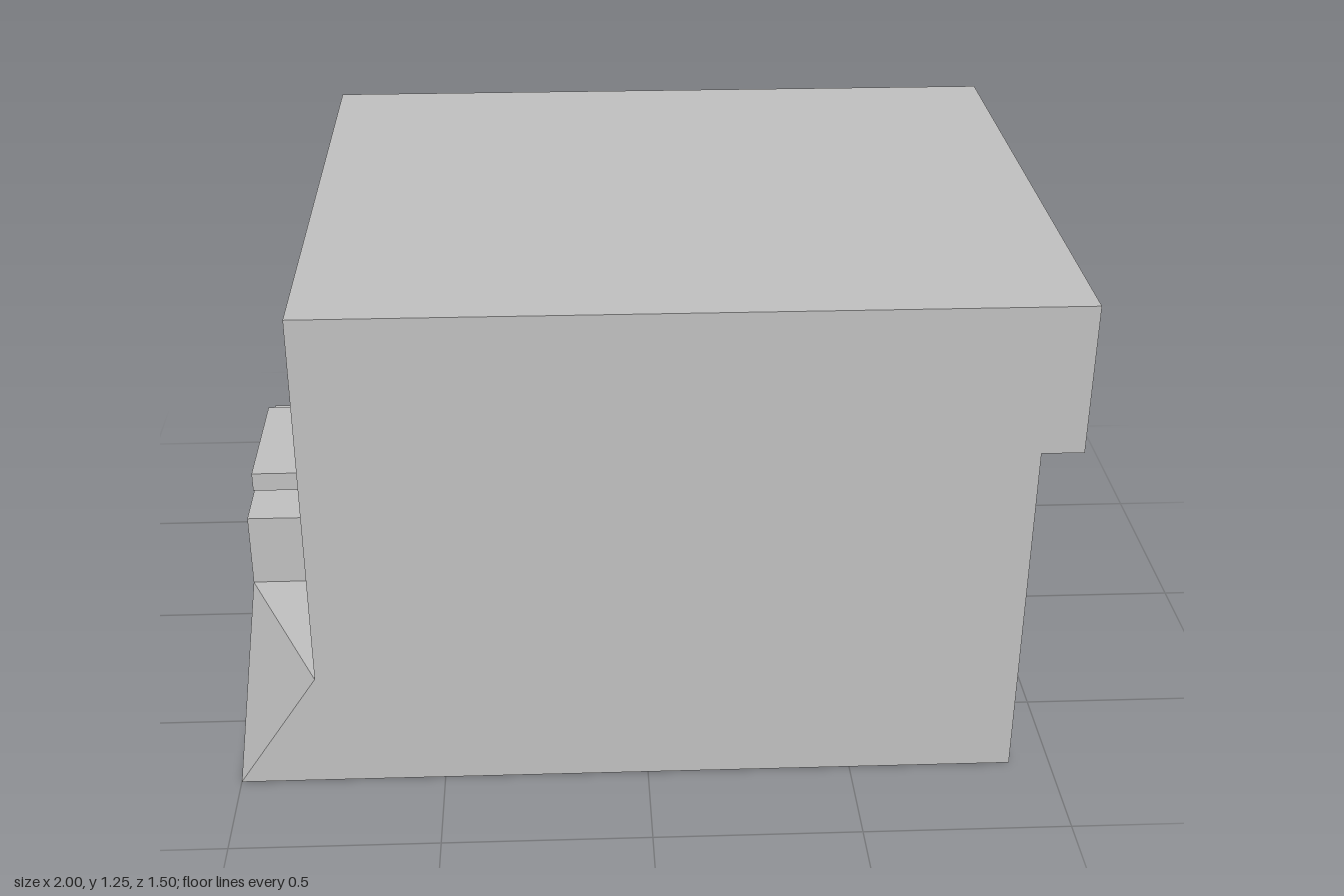
import * as THREE from 'three';
import { ConvexGeometry } from 'three/addons/geometries/ConvexGeometry.js';

const HALF = 0.75; // half depth of the building

export function createModel() {
  const model = new THREE.Group();
  model.name = 'kiosk';
  const grey = new THREE.MeshStandardMaterial({ color: 0xc0c0c0 });
  grey.name = 'plain grey';

  const add = (name, geometry) => {
    const mesh = new THREE.Mesh(geometry, grey);
    mesh.name = name;
    model.add(mesh);
    return mesh;
  };
  // Box given by its two extreme corners
  const box = (name, [x0, y0, z0], [x1, y1, z1]) =>
    add(name, new THREE.BoxGeometry(x1 - x0, y1 - y0, z1 - z0))
      .position.set((x0 + x1) / 2, (y0 + y1) / 2, (z0 + z1) / 2);
  const points = (list) => list.map(([x, y]) => new THREE.Vector2(x, y));
  // Upright wall across z, from x0 to x1, cut from an outline in (z, y)
  const wall = (name, x0, x1, outline, hole) => {
    const shape = new THREE.Shape(points(outline));
    if (hole) shape.holes.push(new THREE.Path(points(hole)));
    const geometry = new THREE.ExtrudeGeometry(shape, { depth: x1 - x0, bevelEnabled: false });
    add(name, geometry.rotateY(Math.PI / 2).translate(x0, 0, 0));
  };

  // Main body with overhanging upper storey, base ledge and thin roof lip
  const body = new THREE.Shape(points([
    [-0.8, 0], [0.88, 0], [0.88, 0.88], [1, 0.88], [1, 1.25], [-0.8, 1.25],
    [-0.8, 1.244], [-0.64, 1.244], [-0.64, 0.3], [-0.8, 0.3],
  ]));
  add('body', new THREE.ExtrudeGeometry(body, { depth: 2 * HALF, bevelEnabled: false })
    .translate(0, 0, -HALF));

  // Wall with the shallow window recess, and its sill
  wall('windowWall', 0.88, 0.9,
    [[-HALF, 0], [HALF, 0], [HALF, 0.88], [-HALF, 0.88]],
    [[-0.315, 0.25], [-0.315, 0.75], [0.315, 0.75], [0.315, 0.25]]);
  box('windowSill', [0.88, 0.2, -0.31], [1, 0.262, 0.31]);

  // Wall with the deep alcove, open down to the ledge
  const edge = HALF - 0.006;
  wall('alcoveWall', -0.78, -0.64, [
    [-edge, 0.3], [-0.31, 0.3], [-0.31, 0.89], [0.31, 0.89],
    [0.31, 0.3], [edge, 0.3], [edge, 1.244], [-edge, 1.244],
  ]);

  // Counter standing in the alcove, with a raised tray and a spout above
  box('counter', [-1, 0, -0.31], [-0.64, 0.49, 0.31]);
  box('tray', [-1, 0.5, -0.185], [-0.7, 0.55, 0.185]);
  const spout = add('spout', new THREE.CylinderGeometry(0.037, 0.037, 0.14, 24));
  spout.rotation.z = Math.PI / 2;
  spout.position.set(-0.71, 0.75, 0);

  // Side lips and sloping buttresses, mirrored front and back
  for (const s of [1, -1]) {
    const zs = [s * edge, s * HALF].sort((a, b) => a - b);
    box('sideLip', [-0.8, 0.3, zs[0]], [-0.64, 1.244, zs[1]]);
    add('buttress', new ConvexGeometry([
      [-1, 0, HALF], [-0.8, 0, HALF], [-0.8, 0.3, HALF], [-0.8, 0.3, 0.31],
      [-1, 0.3, 0.31], [-1, 0, 0.31], [-0.8, 0, 0.31],
    ].map(([x, y, z]) => new THREE.Vector3(x, y, s * z))));
  }
  return model;
}
